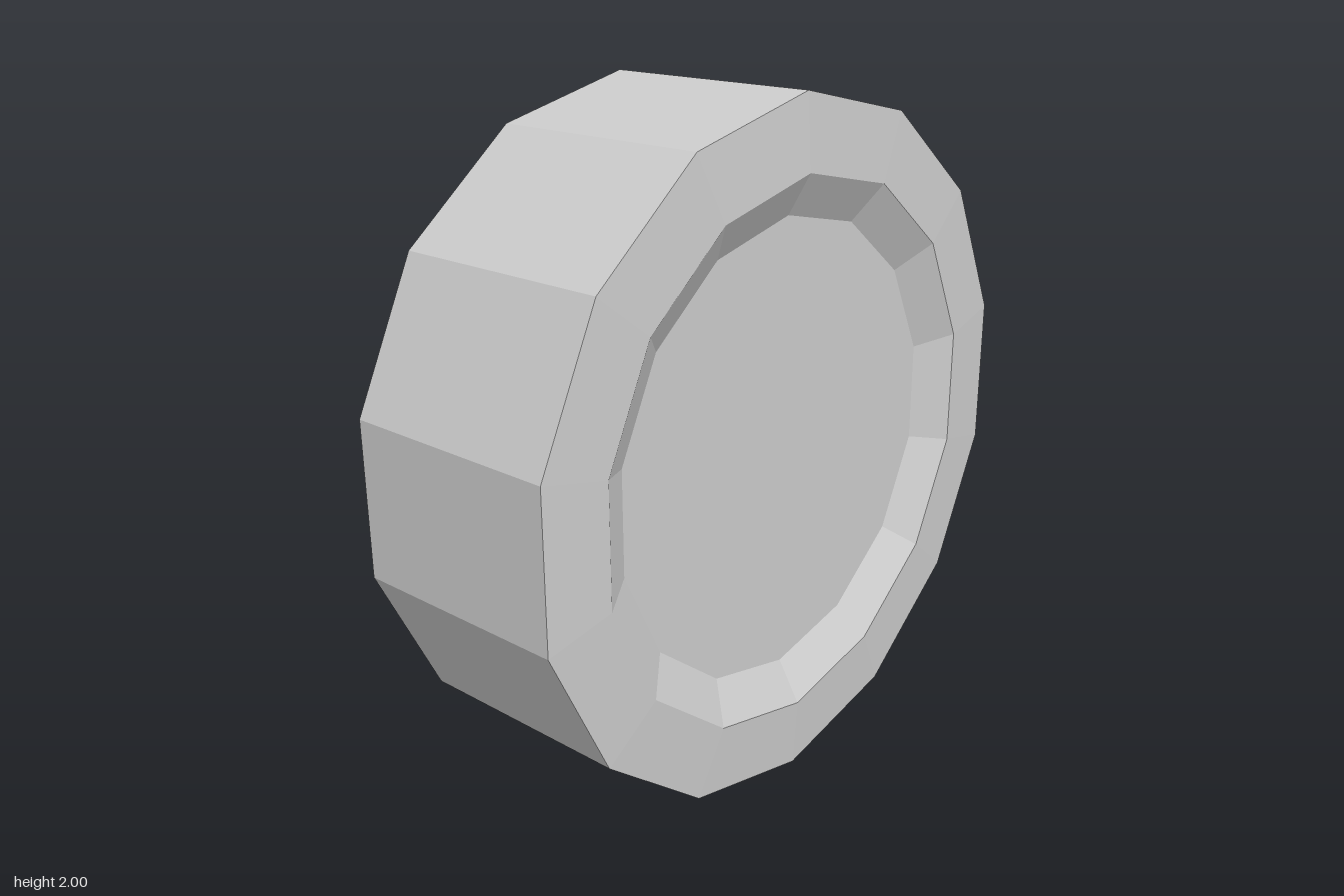
import * as THREE from 'three';

const SIDES = 14;

export function createModel() {
  const material = new THREE.MeshStandardMaterial({ color: 0xcccccc, flatShading: true });
  const wheel = new THREE.Group();
  wheel.name = 'wheel';

  // Spins [radius, z] pairs, listed from back to front, around the z axis
  function turned(name, profile) {
    const points = profile.map(([r, z]) => new THREE.Vector2(r, z));
    const lathe = new THREE.LatheGeometry(points, SIDES).rotateX(Math.PI / 2);
    const geometry = lathe.toNonIndexed();
    geometry.computeVertexNormals();
    const mesh = new THREE.Mesh(geometry, material);
    mesh.name = name;
    mesh.position.y = 1;
    wheel.add(mesh);
  }

  // Flat disc closing a recess; one corner points straight up
  function disc(name, z, facing) {
    const geometry = new THREE.CircleGeometry(0.67, SIDES, Math.PI / 2);
    if (facing < 0) geometry.rotateY(Math.PI);
    const mesh = new THREE.Mesh(geometry, material);
    mesh.name = name;
    mesh.position.set(0, 1, z);
    wheel.add(mesh);
  }

  // Tyre: tread with slightly raised sidewalls
  turned('tyre', [[0.79, -0.35], [1, -0.327], [1, 0.337], [0.79, 0.35]]);

  // Bevelled walls and floors of the hub recesses
  turned('backRecessWall', [[0.67, -0.268], [0.79, -0.35]]);
  turned('frontRecessWall', [[0.79, 0.35], [0.67, 0.28]]);
  disc('backHub', -0.268, -1);
  disc('frontHub', 0.28, 1);

  return wheel;
}
